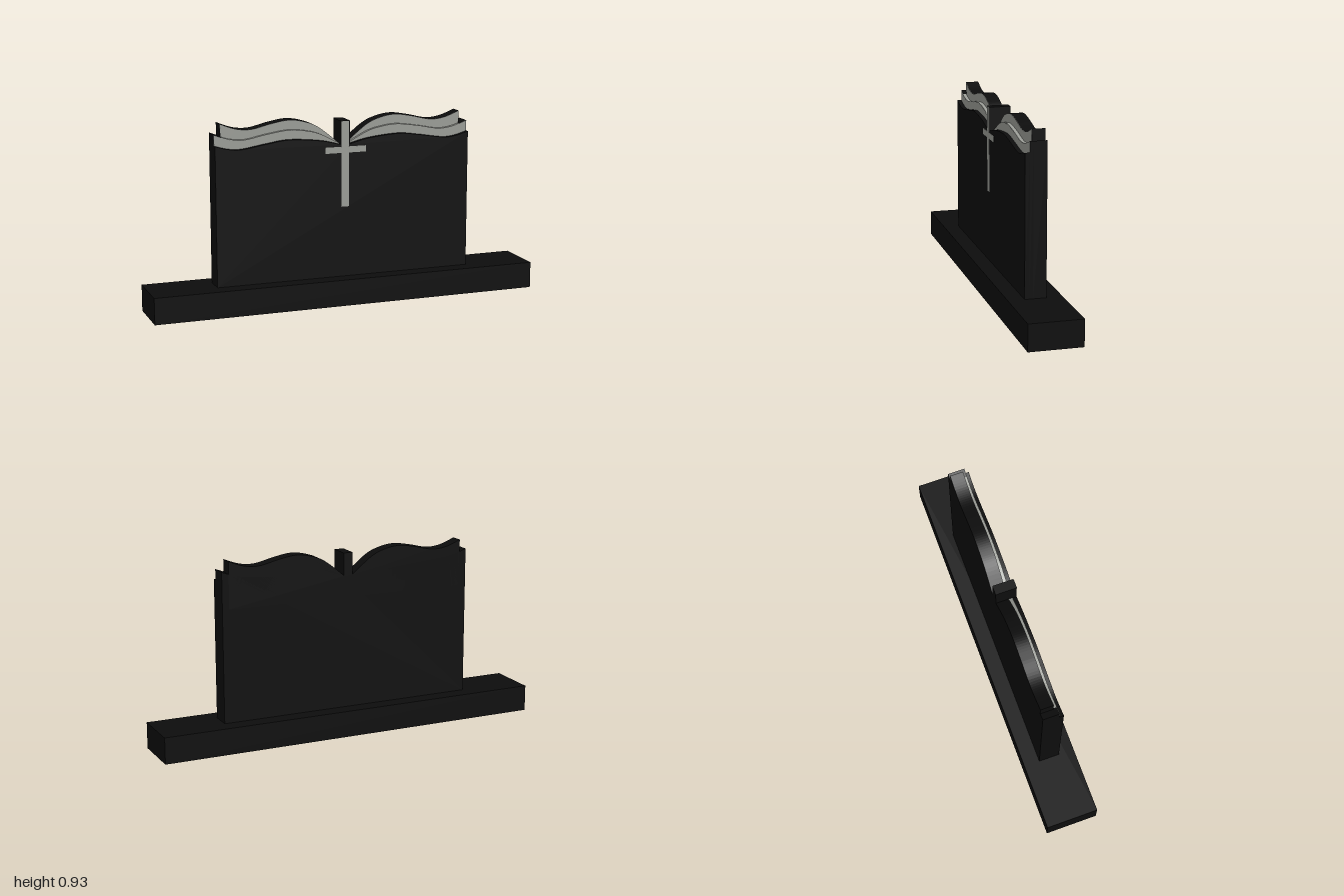
import * as THREE from 'three';

const BACK = -0.053, FRONT = 0.053, MID = 0.03, REAR = 0.012;

// Wavy page edges of one half, from the spine outwards
const wave = (pts) => new THREE.SplineCurve(pts.map(([x, y]) => new THREE.Vector2(x, y))).getPoints(48);
const lowerEdge = wave([[0.02, 0.803], [0.125, 0.828], [0.285, 0.842], [0.4, 0.829], [0.53, 0.809], [0.6, 0.814], [0.665, 0.832]]);
const middleEdge = wave([[0.02, 0.805], [0.125, 0.858], [0.2, 0.878], [0.285, 0.886], [0.4, 0.871], [0.51, 0.851], [0.59, 0.859], [0.665, 0.885]]);
const upperEdge = wave([[0.02, 0.807], [0.125, 0.89], [0.2, 0.922], [0.28, 0.934], [0.37, 0.921], [0.47, 0.899], [0.55, 0.905], [0.63, 0.934]]);

const flip = (pts, side) => pts.map((p) => new THREE.Vector2(p.x * side, p.y));
const lift = (pts, dy) => pts.map((p) => new THREE.Vector2(p.x, p.y + dy));

export function createModel() {
  const group = new THREE.Group();
  const blackStone = new THREE.MeshStandardMaterial({ color: 0x0d0d0d });
  blackStone.name = 'black stone';
  const greyStone = new THREE.MeshStandardMaterial({ color: 0x9b9d97 });
  greyStone.name = 'grey stone';

  const add = (name, geometry, material) => {
    const mesh = new THREE.Mesh(geometry, material);
    mesh.name = name;
    group.add(mesh);
  };
  const box = (name, material, x0, x1, y0, y1, z0, z1) => {
    const g = new THREE.BoxGeometry(x1 - x0, y1 - y0, z1 - z0);
    add(name, g.translate((x0 + x1) / 2, (y0 + y1) / 2, (z0 + z1) / 2), material);
  };
  const extrude = (name, material, outline, z0, z1) => {
    const g = new THREE.ExtrudeGeometry(new THREE.Shape(outline), { depth: z1 - z0, bevelEnabled: false });
    add(name, g.translate(0, 0, z0), material);
  };

  // Plinth
  box('plinth', blackStone, -1, 1, 0, 0.133, -0.133, 0.133);

  // Book-shaped slab in three steps, each further back and taller
  const slab = (name, edge, z0, z1, bottom) => {
    const w = edge[edge.length - 1].x;
    extrude(name, blackStone, [
      new THREE.Vector2(-w, bottom), new THREE.Vector2(w, bottom),
      ...[...edge].reverse(), ...flip(edge, -1),
    ], z0, z1);
  };
  slab('frontSlab', lowerEdge, MID, FRONT, 0.133);
  slab('middleSlab', middleEdge, REAR, MID, 0.133);
  slab('lowerBackSlab', middleEdge, BACK, REAR, 0.133);
  slab('upperBackSlab', upperEdge, BACK, REAR, 0.7);

  // Grey page faces and the ledge between them, on both halves
  const inner = middleEdge.filter((p) => p.x <= 0.63);
  for (const side of [-1, 1]) {
    const label = side > 0 ? 'left' : 'right';
    const band = (name, low, high, z0, z1) =>
      extrude(label + name, greyStone, flip([...low, ...[...high].reverse()], side), z0, z1);
    band('LowerPages', lowerEdge, middleEdge, MID, MID + 0.0015);
    band('UpperPages', inner, upperEdge, REAR, REAR + 0.0015);
    band('PageLedge', lift(inner, -0.001), lift(inner, 0.0015), REAR, MID + 0.001);
  }

  // Cross: black post through the spine with thin grey plates in front
  box('spinePost', blackStone, -0.024, 0.024, 0.7, 0.922, BACK, FRONT);
  box('crossUpright', greyStone, -0.02, 0.02, 0.49, 0.92, FRONT, FRONT + 0.0015);
  box('crossBarRight', greyStone, -0.105, -0.02, 0.762, 0.793, FRONT, FRONT + 0.0015);
  box('crossBarLeft', greyStone, 0.02, 0.108, 0.762, 0.793, FRONT, FRONT + 0.0015);

  return group;
}
